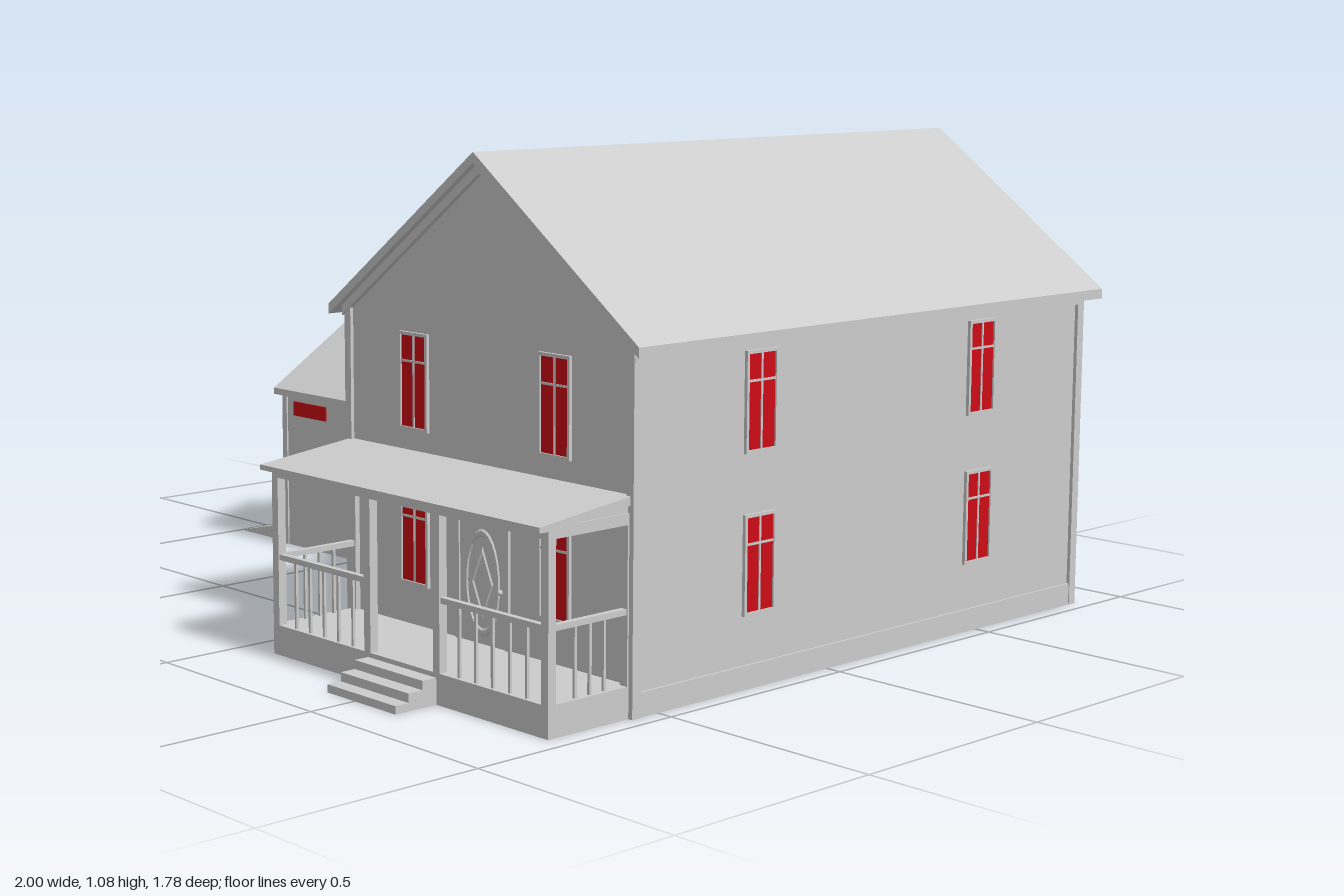
import * as THREE from 'three';

const grey = new THREE.MeshStandardMaterial({ color: 0xcccccc, flatShading: true, side: THREE.DoubleSide });
const red = new THREE.MeshStandardMaterial({ color: 0xcc0c16, flatShading: true });

function add(parent, name, geo, mat = grey) {
  const mesh = new THREE.Mesh(geo, mat);
  mesh.name = name;
  parent.add(mesh);
  return mesh;
}

// box given by its two extreme corners
function box(parent, name, x0, x1, y0, y1, z0, z1, mat) {
  const mesh = add(parent, name, new THREE.BoxGeometry(x1 - x0, y1 - y0, z1 - z0), mat);
  mesh.position.set((x0 + x1) / 2, (y0 + y1) / 2, (z0 + z1) / 2);
  return mesh;
}

// profile in x/y, extruded from z0 to z1
function prism(parent, name, pts, z0, z1) {
  const shape = new THREE.Shape(pts.map(p => new THREE.Vector2(...p)));
  const geo = new THREE.ExtrudeGeometry(shape, { depth: z1 - z0, bevelEnabled: false });
  geo.translate(0, 0, z0);
  return add(parent, name, geo);
}

function group(parent, name) {
  const g = new THREE.Group();
  g.name = name;
  parent.add(g);
  return g;
}

// chevron band: ridge at (c, top), eaves at c +- half
const chevron = (c, half, top, eave, t) => [
  [c - half, eave], [c, top], [c + half, eave],
  [c + half, eave - t], [c, top - t], [c - half, eave - t]];

// gable-ended wall outline
const gable = (c, half, top, eave) => [
  [c - half, 0], [c + half, 0], [c + half, eave], [c, top], [c - half, eave]];

// sash window centred on the wall thickness, visible from both sides
function sashWindow(parent, x, y, z, turn) {
  const g = group(parent, 'window');
  const w = 0.043, h = 0.101, f = 0.007;
  box(g, 'windowPane', -w, w, -h, h, -0.011, 0.011, red);
  for (const s of [-1, 1]) {
    box(g, 'windowJamb', s * w - f / 2, s * w + f / 2, -h - f / 2, h + f / 2, -0.015, 0.015);
    box(g, 'windowRail', -w, w, s * h - f / 2, s * h + f / 2, -0.015, 0.015);
  }
  box(g, 'windowMullion', -0.0025, 0.0025, -h, h, -0.013, 0.013);
  box(g, 'windowCrossbar', -w, w, 0.04, 0.045, -0.013, 0.013);
  g.position.set(x, y, z);
  g.rotation.y = turn;
}

function buildHouse(root) {
  const house = group(root, 'house');
  const c = 0.52;
  // walls and foundation, open underneath
  for (const [z0, z1] of [[0.55, 0.565], [-0.86, -0.845]])
    prism(house, 'gableWall', gable(c, 0.438, 1.055, 0.735), z0, z1);
  for (const s of [-1, 1]) {
    const a = c + s * 0.438, b = c + s * 0.423;
    box(house, 'sideWall', Math.min(a, b), Math.max(a, b), 0, 0.735, -0.86, 0.565);
    const e = c + s * 0.441;
    box(house, 'sideFoundation', e - 0.003, e + 0.003, 0, 0.05, -0.863, 0.568);
    box(house, 'eaveTrim', e - 0.006, e + 0.006, 0.70, 0.725, -0.865, 0.57);
    for (const z of [-0.855, 0.562])
      box(house, 'cornerPost', c + s * 0.436 - 0.01, c + s * 0.436 + 0.01, 0, 0.735, z - 0.011, z + 0.011);
  }
  box(house, 'backFoundation', 0.08, 0.96, 0, 0.05, -0.865, -0.858);
  // roof with rake trim under the overhang
  prism(house, 'roof', chevron(c, 0.477, 1.083, 0.735, 0.022), -0.89, 0.592);
  for (const [z0, z1] of [[0.56, 0.577], [-0.875, -0.855]])
    prism(house, 'rakeTrim', chevron(c, 0.45, 1.063, 0.735, 0.024), z0, z1);
  // windows on the front, back and left side
  for (const y of [0.257, 0.59]) {
    for (const x of [0.302, 0.738]) {
      sashWindow(house, x, y, 0.5575, 0);
      sashWindow(house, x, y, -0.8525, Math.PI);
    }
    for (const z of [0.21, -0.5]) sashWindow(house, c + 0.4305, y, z, Math.PI / 2);
  }
}

function buildDoor(root) {
  const door = group(root, 'frontDoor');
  box(door, 'doorPanel', -0.072, 0.072, 0, 0.26, -0.01, 0.01);
  for (const s of [-1, 1]) {
    box(door, 'doorJamb', s * 0.077 - 0.006, s * 0.077 + 0.006, 0, 0.272, -0.014, 0.014);
    // oval glass with a diamond ornament, on both faces
    const ring = add(door, 'ovalFrame', new THREE.TorusGeometry(0.05, 0.004, 6, 28));
    ring.scale.set(1, 2.1, 1);
    ring.position.set(0, 0.135, s * 0.01);
    const diamond = add(door, 'diamondOrnament', new THREE.TorusGeometry(0.03, 0.003, 4, 4));
    diamond.scale.set(1, 2.3, 1);
    diamond.position.copy(ring.position);
    const knob = add(door, 'doorKnob', new THREE.SphereGeometry(0.006, 10, 8));
    knob.position.set(0.06, 0.125, s * 0.016);
  }
  box(door, 'doorHead', -0.083, 0.083, 0.26, 0.272, -0.014, 0.014);
  door.position.set(0.52, 0.06, 0.5575);
}

function buildPorch(root) {
  const porch = group(root, 'porch');
  box(porch, 'porchDeck', 0.09, 0.955, 0, 0.065, 0.565, 0.785);
  // lean-to roof, profile in z/y swept along x
  prism(porch, 'porchRoof', [[0.565, 0.442], [0.81, 0.413], [0.81, 0.402], [0.785, 0.402], [0.565, 0.424]],
    -0.958, -0.083).rotation.y = -Math.PI / 2;
  box(porch, 'frontBeam', 0.09, 0.955, 0.385, 0.408, 0.765, 0.785);
  for (const x of [0.1, 0.945]) {
    box(porch, 'sideBeam', x - 0.01, x + 0.01, 0.385, 0.408, 0.565, 0.77);
    prism(porch, 'sideGable', [[0.565, 0.4], [0.775, 0.4], [0.775, 0.412], [0.565, 0.436]],
      -x - 0.006, -x + 0.006).rotation.y = -Math.PI / 2;
    box(porch, 'wallPost', x - 0.01, x + 0.01, 0.065, 0.39, 0.565, 0.577);
    // side railing
    box(porch, 'sideHandrail', x - 0.007, x + 0.007, 0.207, 0.219, 0.57, 0.77);
    for (const z of [0.59, 0.63, 0.668, 0.707, 0.745].filter((_, i) => i % 2))
      box(porch, 'sideBaluster', x - 0.003, x + 0.003, 0.065, 0.21, z - 0.003, z + 0.003);
    box(porch, 'sideBaluster', x - 0.003, x + 0.003, 0.065, 0.21, 0.665, 0.671);
  }
  for (const x of [0.1, 0.41, 0.628, 0.945])
    box(porch, 'porchPost', x - 0.01, x + 0.01, 0.065, 0.39, 0.765, 0.785);
  // front railing on both sides of the steps
  for (const [x0, x1] of [[0.11, 0.40], [0.638, 0.935]]) {
    box(porch, 'handrail', x0, x1, 0.207, 0.219, 0.768, 0.782);
    for (let i = 1; i < 6; i++) {
      const x = x0 + (x1 - x0) * i / 6;
      box(porch, 'baluster', x - 0.003, x + 0.003, 0.065, 0.21, 0.772, 0.778);
    }
  }
  [[0.055, 0.82], [0.036, 0.856], [0.017, 0.89]].forEach(([y, z], i) =>
    box(porch, 'step', 0.412, 0.628, 0, y, 0.785 + i * 0.036 - (i ? 0.003 : 0), z));
}

function buildGarage(root) {
  const garage = group(root, 'garage');
  const c = -0.153, half = 0.243;
  // end parts share a frame turned so its x runs along z and its z along -x
  const ends = group(garage, 'garageEnds');
  ends.rotation.y = -Math.PI / 2;
  prism(ends, 'garageGableWall', gable(c, half, 0.562, 0.395), 0.77, 0.782);
  prism(ends, 'garageRoof', chevron(c, 0.267, 0.577, 0.405, 0.016), -0.08, 0.808);
  prism(ends, 'garageRakeTrim', chevron(c, 0.252, 0.563, 0.402, 0.018), 0.77, 0.792);
  // overhead door with panels and a glazed top row
  box(ends, 'garageDoor', c - 0.215, c + 0.215, 0.045, 0.375, 0.766, 0.786);
  for (const s of [-1, 1]) {
    const m = c + s * 0.107;
    box(ends, 'garageDoorWindow', m - 0.095, m + 0.095, 0.315, 0.365, 0.763, 0.789, red);
    for (let i = 0; i < 3; i++)
      box(ends, 'garageDoorPanel', m - 0.095, m + 0.095, 0.06 + i * 0.083, 0.13 + i * 0.083, 0.764, 0.788);
  }
  // side walls, eaves, posts and window strips
  for (const s of [-1, 1]) {
    const z = c + s * half;
    box(garage, 'garageSideWall', -0.782, 0.085, 0, 0.395, z - 0.006, z + 0.006);
    box(garage, 'garageEaveTrim', -0.795, 0.08, 0.385, 0.398, z - 0.011, z + 0.011);
    for (const x of [-0.783, 0.085])
      box(garage, 'garagePost', x - 0.009, x + 0.009, 0, 0.395, z - 0.01, z + 0.01);
    for (let i = 0; i < 4; i++) {
      const x = -0.68 + i * 0.2185;
      box(garage, 'garageWindow', x - 0.066, x + 0.066, 0.339, 0.375, z - 0.009, z + 0.009, red);
    }
  }
  prism(garage, 'ramp', [[-1, 0], [-0.782, 0], [-0.782, 0.052]], c - 0.237, c + 0.237);
}

export function createModel() {
  const root = new THREE.Group();
  root.name = 'farmhouse';
  buildHouse(root);
  buildDoor(root);
  buildPorch(root);
  buildGarage(root);
  return root;
}
